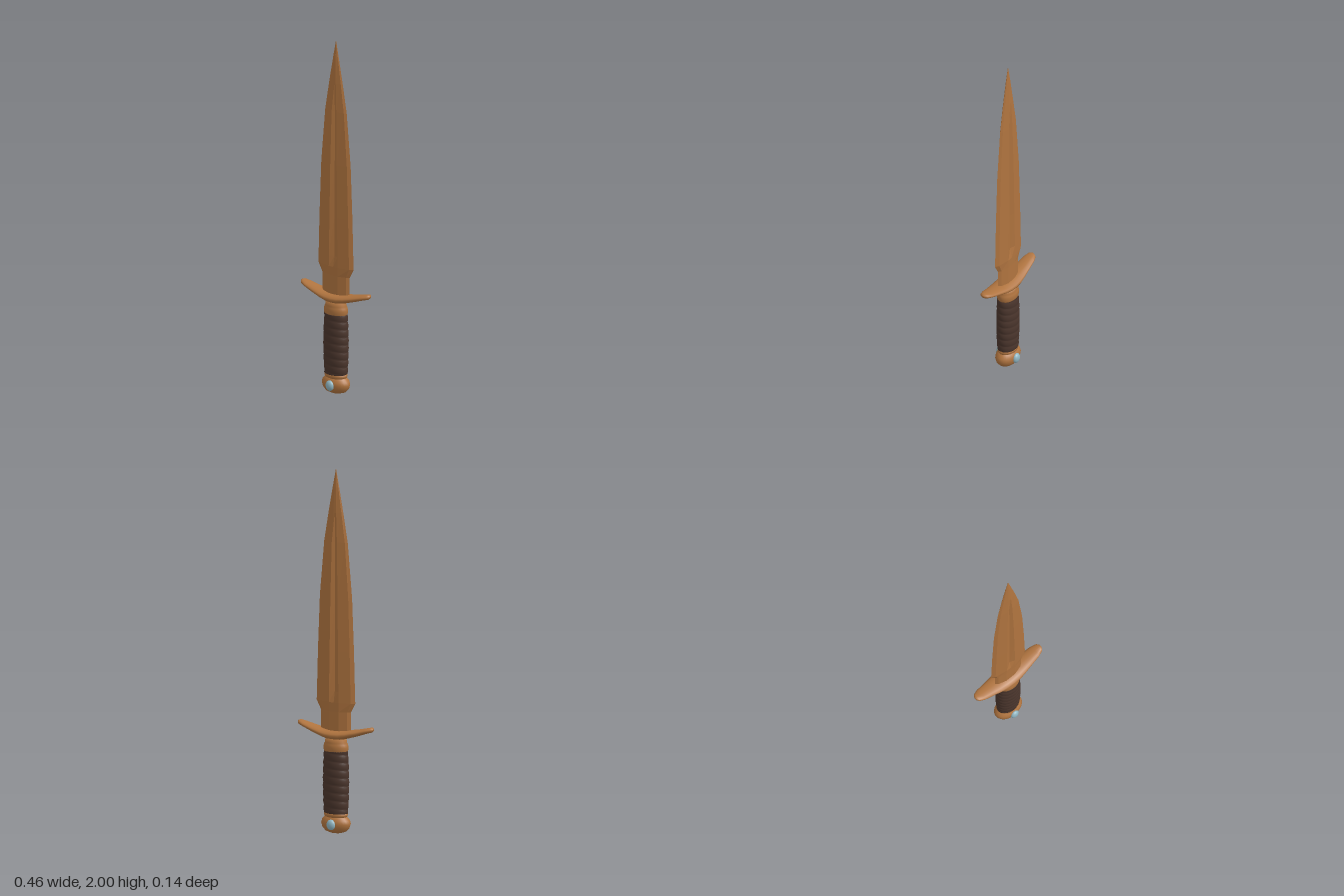
import * as THREE from 'three';

const bronze = new THREE.MeshStandardMaterial({ color: 0xb0743f });
const bronzeFlat = new THREE.MeshStandardMaterial({ color: 0xb0743f, flatShading: true });
const leather = new THREE.MeshStandardMaterial({ color: 0x4a352c });
const gemMat = new THREE.MeshStandardMaterial({ color: 0x8fb4c0 });

// Skin a list of equal-length rings of [x, y, z] points and cap both ends
function loft(rings) {
  const n = rings[0].length, pos = [], index = [];
  rings.forEach(r => r.forEach(p => pos.push(...p)));
  for (let i = 0; i < rings.length - 1; i++) {
    for (let j = 0; j < n; j++) {
      const a = i * n + j, c = i * n + (j + 1) % n;
      index.push(a, a + n, c, c, a + n, c + n);
    }
  }
  [0, rings.length - 1].forEach((i, end) => {
    const centre = pos.length / 3;
    pos.push(...[0, 1, 2].map(k => rings[i].reduce((s, p) => s + p[k], 0) / n));
    for (let j = 0; j < n; j++) {
      const a = i * n + j, b = i * n + (j + 1) % n;
      index.push(centre, end ? b : a, end ? a : b);
    }
  });
  const g = new THREE.BufferGeometry();
  g.setAttribute('position', new THREE.Float32BufferAttribute(pos, 3));
  g.setIndex(index);
  g.computeVertexNormals();
  return g;
}

function bladeGeometry() {
  // y, half width, half thickness, half groove width, groove depth
  const stations = [
    [0.53, 0.093, 0.024, 0.03, 0], [0.67, 0.093, 0.024, 0.03, 0],
    [0.72, 0.12, 0.025, 0.03, 0], [0.78, 0.118, 0.025, 0.029, 0.012],
    [1.0, 0.112, 0.024, 0.026, 0.012], [1.3, 0.1, 0.022, 0.022, 0.011],
    [1.6, 0.073, 0.018, 0.016, 0.008], [1.76, 0.046, 0.014, 0.009, 0],
    [1.9, 0.02, 0.008, 0.004, 0], [2.0, 0.0005, 0.0005, 0.0002, 0],
  ];
  return loft(stations.map(([y, w, t, g, d]) => {
    const half = [[w, 0], [w * 0.82, t * 0.5], [g, t], [0, t - d], [-g, t], [-w * 0.82, t * 0.5]];
    return [...half, ...half.map(([x, z]) => [-x, -z])].map(([x, z]) => [x, y, z]);
  }));
}

function guardGeometry() {
  // x, centre height, half height, half depth
  const side = [
    [0, 0.54, 0.027, 0.06], [0.04, 0.542, 0.026, 0.058], [0.08, 0.549, 0.022, 0.053],
    [0.14, 0.564, 0.018, 0.043], [0.19, 0.579, 0.015, 0.036],
    [0.22, 0.587, 0.014, 0.025], [0.231, 0.589, 0.008, 0.01],
  ];
  const stations = [...side.slice(1).reverse().map(([x, ...r]) => [-x, ...r]), ...side];
  return loft(stations.map(([x, y, h, d]) => Array.from({ length: 16 }, (_, j) => {
    const a = j / 16 * Math.PI * 2;
    return [x, y + h * Math.cos(a), -d * Math.sin(a)];
  })));
}

function gripGeometry() {
  // Oval handle with a spiral wrap raised in overlapping bands
  const rows = 80, sides = 32, y0 = 0.112, y1 = 0.455, turns = 8;
  return loft(Array.from({ length: rows + 1 }, (_, i) => {
    const t = i / rows;
    return Array.from({ length: sides }, (_, j) => {
      const a = j / sides * Math.PI * 2;
      const phase = (t * turns - j / sides + 2) % 1;
      const r = 0.063 + 0.008 * Math.sin(Math.PI * Math.min(1, t * 0.85 + 0.08))
        + 0.005 * Math.sqrt(Math.sin(Math.PI * phase));
      return [r * Math.cos(a), y0 + t * (y1 - y0), 0.73 * r * Math.sin(a)];
    });
  }));
}

// Turned part squashed to an oval
function oval(points, depth) {
  const g = new THREE.LatheGeometry(points.map(p => new THREE.Vector2(...p)), 28);
  return g.scale(1, 1, depth);
}

export function createModel() {
  const group = new THREE.Group();
  const add = (name, geometry, material) => {
    const mesh = new THREE.Mesh(geometry, material);
    mesh.name = name;
    group.add(mesh);
    return mesh;
  };

  add('blade', bladeGeometry(), bronzeFlat);
  add('guard', guardGeometry(), bronze);
  add('grip', gripGeometry(), leather);

  // Collar between grip and guard
  add('collar', oval([[0, 0.445], [0.064, 0.445], [0.07, 0.455], [0.071, 0.475], [0.069, 0.49],
    [0.062, 0.5], [0.061, 0.53], [0, 0.53]], 0.73), bronze);

  // Pommel with a ring under the grip
  add('pommel', oval([[0, 0], [0.035, 0.003], [0.062, 0.013], [0.079, 0.032], [0.086, 0.055],
    [0.081, 0.073], [0.068, 0.088], [0.06, 0.093]], 0.68), bronze);
  add('pommelRing', oval([[0.055, 0.088], [0.065, 0.093], [0.069, 0.102], [0.067, 0.112],
    [0.06, 0.118], [0, 0.118]], 0.74), bronze);

  // Gem on each face of the pommel
  for (const s of [1, -1]) {
    const gem = add(s > 0 ? 'frontGem' : 'backGem', new THREE.SphereGeometry(1, 16, 12), gemMat);
    gem.scale.set(0.026, 0.029, 0.018);
    gem.position.set(0, 0.053, s * 0.054);
  }
  return group;
}
